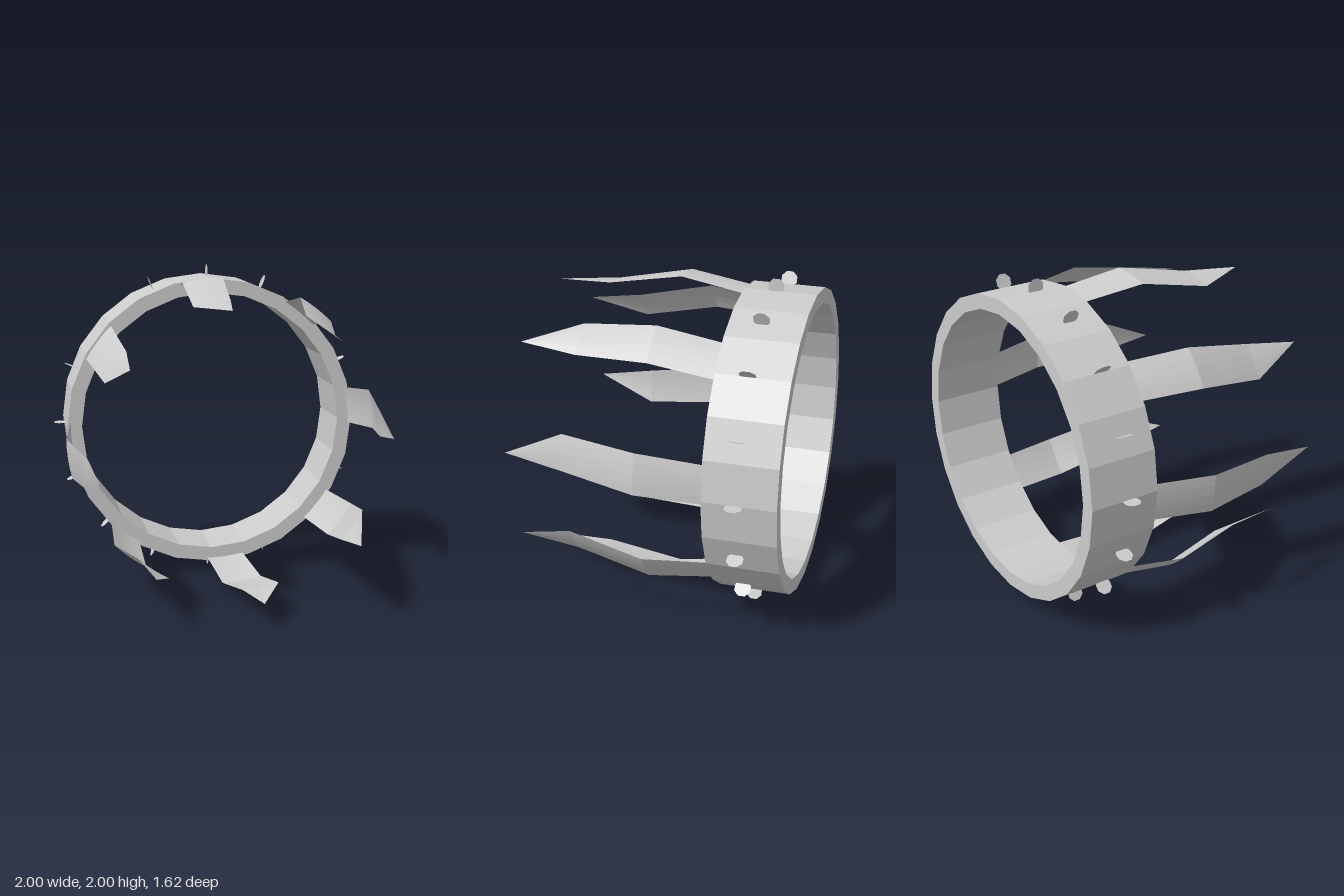
import * as THREE from 'three';

const grey = new THREE.MeshStandardMaterial({ color: 0xcccccc, flatShading: true, side: THREE.DoubleSide });
grey.name = 'plain grey';

const CENTRE_Y = 1;

// Curved blade: each row is an arc about the z axis [z, radius, start degrees, end degrees]
function bladeGeometry() {
  const rows = [
    [-0.42, 0.899, -2.1, 12.8],
    [0, 0.961, 0, 14.8],
    [0.46, 0.867, 2.6, 17.1],
    [0.81, 0.845, 6.4, 6.4],
  ];
  const steps = 4;
  const positions = [];
  const indices = [];
  for (const [z, radius, start, end] of rows) {
    for (let i = 0; i <= steps; i++) {
      const a = THREE.MathUtils.degToRad(90 + start + (end - start) * i / steps);
      positions.push(radius * Math.cos(a), radius * Math.sin(a), z);
    }
  }
  const n = steps + 1;
  for (let j = 0; j < rows.length - 1; j++) {
    for (let i = 0; i < steps; i++) {
      const a = j * n + i;
      indices.push(a, a + 1, a + n);
      // The last row meets in a point, so it needs only one triangle per strip
      if (j < rows.length - 2) indices.push(a + 1, a + n + 1, a + n);
    }
  }
  const geometry = new THREE.BufferGeometry();
  geometry.setAttribute('position', new THREE.Float32BufferAttribute(positions, 3));
  geometry.setIndex(indices);
  geometry.computeVertexNormals();
  return geometry;
}

export function createModel() {
  const model = new THREE.Group();
  model.name = 'bladedRing';
  const body = new THREE.Group();
  body.name = 'ringAssembly';
  body.position.y = CENTRE_Y;
  model.add(body);

  // Faceted band with a rectangular section
  const section = [[0.835, -0.81], [0.926, -0.81], [0.926, -0.38], [0.835, -0.38], [0.835, -0.81]];
  const bandGeometry = new THREE.LatheGeometry(section.map(([r, y]) => new THREE.Vector2(r, y)), 24);
  bandGeometry.rotateX(Math.PI / 2);
  const band = new THREE.Mesh(bandGeometry, grey);
  band.name = 'band';
  body.add(band);

  // Eight blades reaching forward from the band
  const blade = bladeGeometry();
  for (let i = 0; i < 8; i++) {
    const mesh = new THREE.Mesh(blade, grey);
    mesh.name = 'blade';
    mesh.rotation.z = i * Math.PI / 4;
    body.add(mesh);
  }

  // Sixteen flat octagonal studs standing on edge around the band
  const stud = new THREE.CircleGeometry(0.051, 8);
  stud.rotateZ(Math.PI / 8);
  stud.rotateX(Math.PI / 2);
  stud.translate(0.953, 0, -0.57);
  for (let i = 0; i < 16; i++) {
    const mesh = new THREE.Mesh(stud, grey);
    mesh.name = 'stud';
    mesh.rotation.z = i * Math.PI / 8;
    body.add(mesh);
  }

  return model;
}
